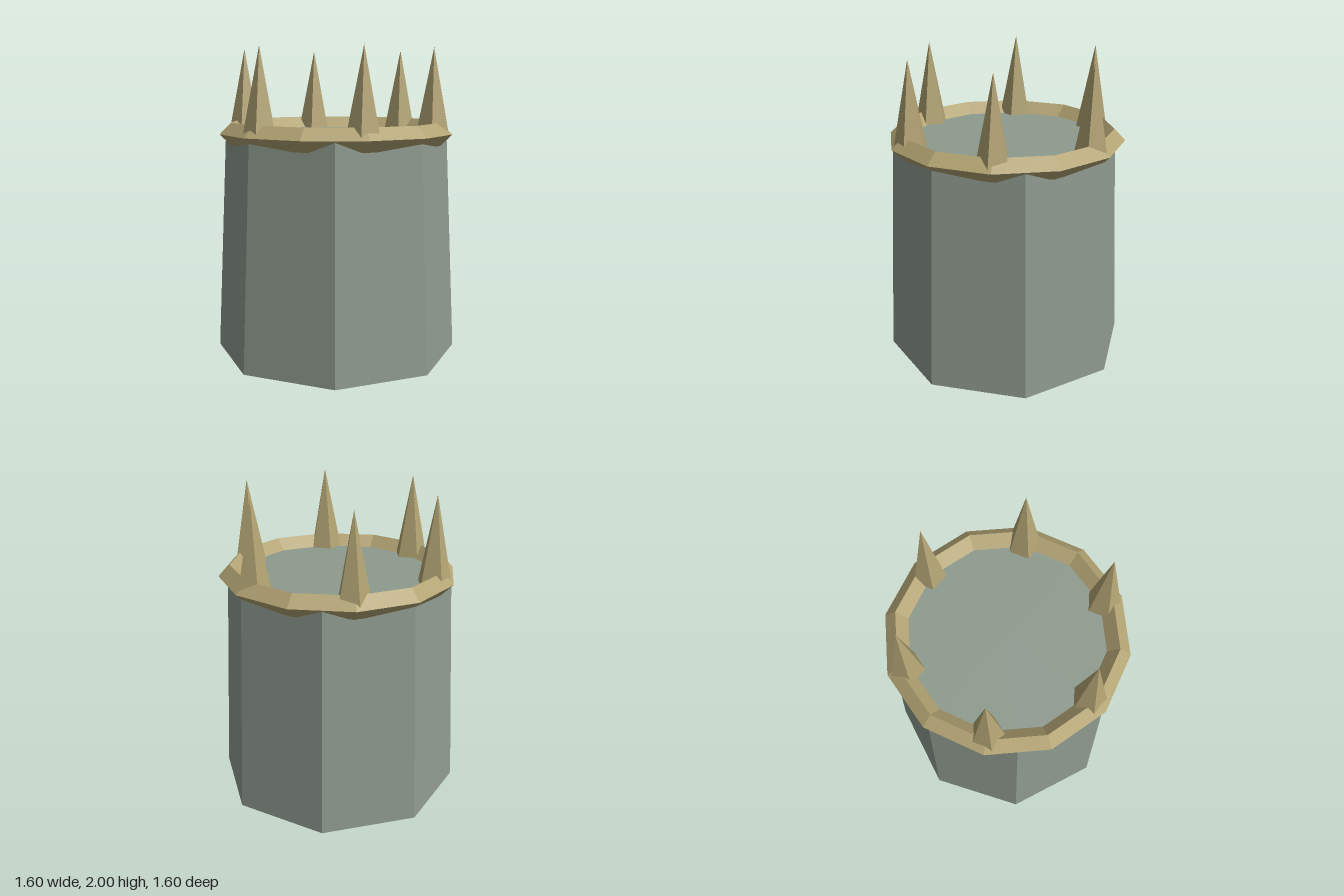
import * as THREE from 'three';

const HEIGHT = 1.4545;      // top of the drum
const SPIKE_RING = 0.638;   // distance of the spikes from the axis
const SPIKE_HEIGHT = 0.5455;

export function createModel() {
  const model = new THREE.Group();
  model.name = 'spikedTower';

  const stone = new THREE.MeshStandardMaterial({ color: 0x8f9b8f });
  stone.name = 'grey green stone';
  const brass = new THREE.MeshStandardMaterial({ color: 0xb3a474 });
  brass.name = 'dull brass';

  const add = (name, geometry, material, parent = model) => {
    // Unshared vertices give flat facets
    const flat = geometry.toNonIndexed();
    flat.computeVertexNormals();
    const mesh = new THREE.Mesh(flat, material);
    mesh.name = name;
    parent.add(mesh);
    return mesh;
  };

  // Tapered eight-sided drum
  add('drum', new THREE.CylinderGeometry(0.7273, 0.8, HEIGHT, 8), stone)
    .position.y = HEIGHT / 2;

  // Diamond-section rim
  const rim = new THREE.TorusGeometry(0.691, 0.0727, 4, 12).rotateX(Math.PI / 2);
  add('rim', rim, brass).position.y = HEIGHT;

  // Six five-sided spikes, all with one corner towards +x
  const spikes = new THREE.Group();
  spikes.name = 'spikes';
  model.add(spikes);
  for (let i = 0; i < 6; i++) {
    const a = (i * Math.PI) / 3;
    const cone = new THREE.ConeGeometry(0.109, SPIKE_HEIGHT, 5).rotateY(Math.PI / 2);
    add('spike' + (i + 1), cone, brass, spikes).position.set(
      Math.cos(a) * SPIKE_RING, HEIGHT + SPIKE_HEIGHT / 2, Math.sin(a) * SPIKE_RING);
  }

  return model;
}
